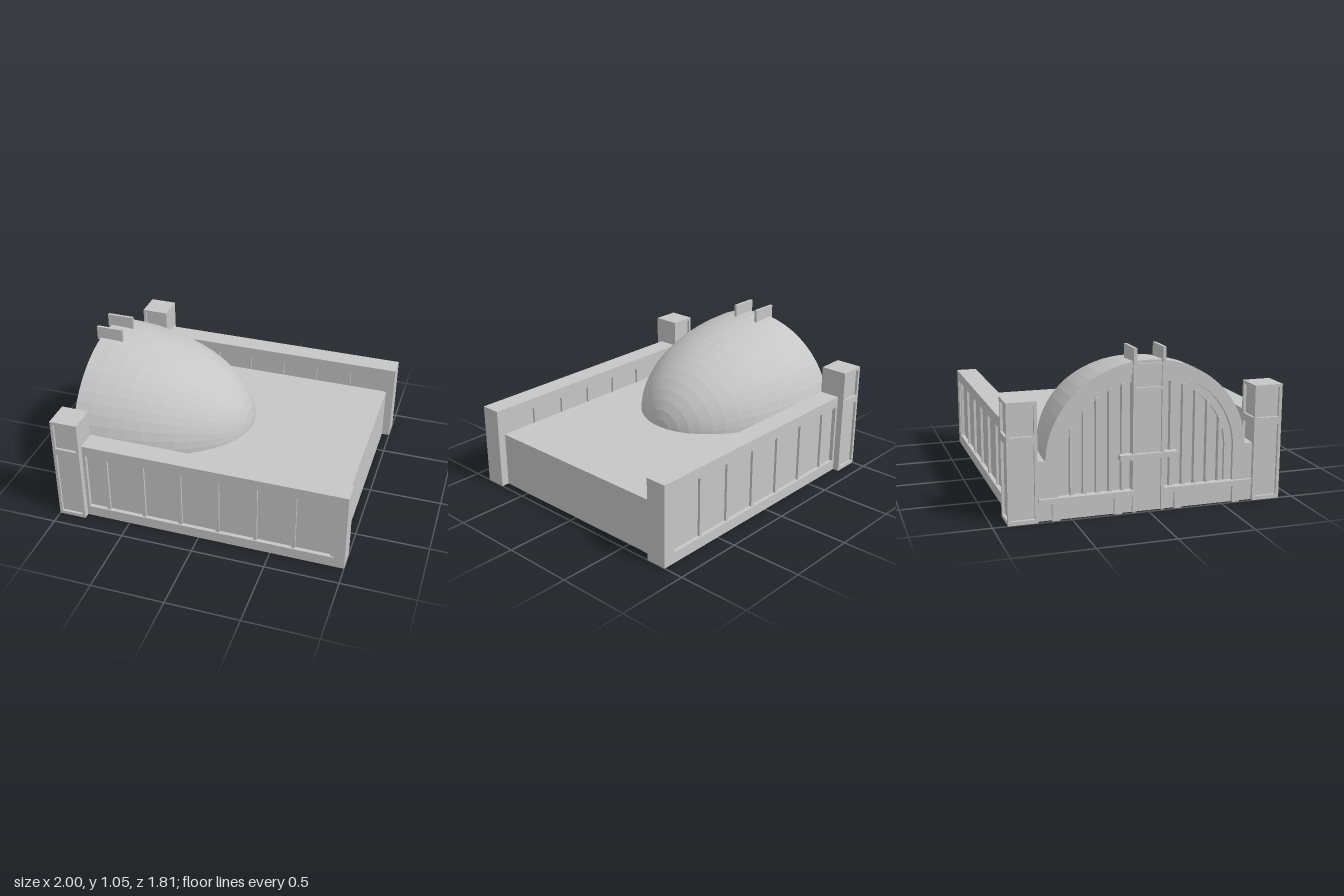
import * as THREE from 'three';

const stone = new THREE.MeshStandardMaterial({ color: 0xc6c6c6 });
stone.name = 'pale grey stone';
const domeGrey = new THREE.MeshStandardMaterial({ color: 0xc6c6c6, flatShading: true });
domeGrey.name = 'pale grey dome';

// Box given by its lower and upper limits on each axis
function box(parent, name, x0, x1, y0, y1, z0, z1) {
  const mesh = new THREE.Mesh(new THREE.BoxGeometry(x1 - x0, y1 - y0, z1 - z0), stone);
  mesh.position.set((x0 + x1) / 2, (y0 + y1) / 2, (z0 + z1) / 2);
  mesh.name = name;
  parent.add(mesh);
  return mesh;
}

function rectPath(path, [x0, x1, y0, y1]) {
  path.moveTo(x0, y0).lineTo(x1, y0).lineTo(x1, y1).lineTo(x0, y1).lineTo(x0, y0);
  return path;
}

// Rectangular slab in the xy plane with rectangular openings
function frameGeometry(outer, holes, depth) {
  const shape = rectPath(new THREE.Shape(), outer);
  shape.holes = holes.map((h) => rectPath(new THREE.Path(), h));
  return new THREE.ExtrudeGeometry(shape, { depth, bevelEnabled: false });
}

function add(parent, name, geometry, material = stone) {
  const mesh = new THREE.Mesh(geometry, material);
  mesh.name = name;
  parent.add(mesh);
  return mesh;
}

// Long side wall: frame, thin panel and mullions showing on both faces
function sideWall(side) {
  const g = new THREE.Group();
  g.name = side > 0 ? 'frontSideWall' : 'backSideWall';
  const frame = frameGeometry([-0.81, 1, 0, 0.575], [[-0.79, 0.925, 0.075, 0.5]], 0.145);
  add(g, 'wallFrame', frame).position.z = side > 0 ? 0.715 : -0.86;
  const z = side * 0.7875;
  box(g, 'wallPanel', -0.8, 0.94, 0.065, 0.51, z - 0.045, z + 0.045);
  for (let i = 0; i < 7; i++) {
    const x = -0.665 + i * 0.261;
    box(g, 'wallMullion', x, x + 0.025, 0.07, 0.505, z - 0.062, z + 0.062);
  }
  return g;
}

// Corner tower with two recessed panels on three faces
function tower(side) {
  const g = new THREE.Group();
  g.name = side > 0 ? 'frontTower' : 'backTower';
  const t = 0.018, h = 0.095;
  box(g, 'towerCore', -h + t, h, 0, 0.765, -h + t, h - t);
  const panels = [[-0.075, 0.075, 0.025, 0.5], [-0.075, 0.075, 0.55, 0.745]];
  const frame = frameGeometry([-h, h, 0, 0.765], panels, t);
  for (const turn of [0, Math.PI, -Math.PI / 2]) {
    const face = new THREE.Group();
    face.name = 'towerFace';
    face.rotation.y = turn;
    add(face, 'towerFrame', frame).position.z = h - t;
    g.add(face);
  }
  g.position.set(-0.905, 0, side * 0.81);
  return g;
}

const SPRING = 0.37;

// Arched opening outline: straight jambs below, half ellipse above
function archPath(path, rz, ry, y0) {
  path.moveTo(-rz, y0).lineTo(rz, y0).lineTo(rz, SPRING);
  path.absellipse(0, SPRING, rz, ry, 0, Math.PI, false);
  path.lineTo(-rz, y0);
  return path;
}

// Facade layer in the zy plane, extruded towards -x from xBack
function facadeLayer(parent, name, xBack, depth, hole) {
  const shape = new THREE.Shape();
  shape.moveTo(-0.715, 0).lineTo(0.715, 0).lineTo(0.715, 0.385).lineTo(0.66, 0.385);
  shape.absellipse(0, SPRING, 0.66, 0.6, 0.02, Math.PI - 0.02, false);
  shape.lineTo(-0.715, 0.385).lineTo(-0.715, 0);
  if (hole) shape.holes.push(archPath(new THREE.Path(), hole, hole - 0.06, 0.14));
  const geo = new THREE.ExtrudeGeometry(shape, { depth, bevelEnabled: false, curveSegments: 36 });
  geo.rotateY(-Math.PI / 2);
  add(parent, name, geo).position.x = xBack;
}

function facade() {
  const g = new THREE.Group();
  g.name = 'archedFacade';
  facadeLayer(g, 'windowBackPlate', -0.915, 0.015, 0);
  facadeLayer(g, 'innerArchRing', -0.93, 0.022, 0.53);
  facadeLayer(g, 'outerArchRing', -0.952, 0.023, 0.58);

  // Central pier with raised edges and a small framed panel near its top
  box(g, 'centralPier', -0.975, -0.93, 0, 0.95, -0.1, 0.1);
  for (const s of [-1, 1]) {
    const z = s * 0.095;
    box(g, 'pierFin', -1, -0.81, 0.95, 1.05, z - 0.01, z + 0.01);
    box(g, 'pierEdge', -0.99, -0.93, 0, 0.95, z - 0.01, z + 0.01);
  }
  for (const y of [0.78, 0.93]) box(g, 'pierPanelRail', -0.99, -0.96, y, y + 0.02, -0.09, 0.09);

  // Entrance canopy
  box(g, 'canopy', -1, -0.95, 0.345, 0.38, -0.19, 0.19);

  for (const s of [-1, 1]) {
    // Window bars reaching up to the arch
    for (let i = 0; i < 5; i++) {
      const z = 0.16 + i * 0.083;
      const top = SPRING + 0.48 * Math.sqrt(1 - (z / 0.54) ** 2);
      box(g, 'windowBar', -0.965, -0.925, 0.14, top, s * z - 0.011, s * z + 0.011);
    }
    // Sill and its supporting blocks
    const mid = s * 0.405;
    box(g, 'windowSill', -0.995, -0.95, 0.11, 0.145, mid - 0.305, mid + 0.305);
    for (const z of [0.2, 0.6]) {
      box(g, 'sillBlock', -0.995, -0.95, 0, 0.11, s * z - 0.025, s * z + 0.025);
    }
  }
  return g;
}

export function createModel() {
  const model = new THREE.Group();
  model.name = 'domedHall';

  // Hollow hall: roof slab and far end wall
  box(model, 'roof', -0.92, 0.945, 0.36, 0.385, -0.72, 0.72);
  box(model, 'endWall', 0.92, 0.945, 0, 0.36, -0.72, 0.72);

  // Faceted quarter ellipsoid with its pole along +x
  const domeGeo = new THREE.SphereGeometry(1, 26, 14, -Math.PI / 2, Math.PI, 0, Math.PI / 2);
  domeGeo.rotateZ(-Math.PI / 2).scale(1.095, 0.605, 0.667);
  add(model, 'dome', domeGeo, domeGrey).position.set(-0.975, SPRING, 0);

  model.add(facade());
  for (const side of [-1, 1]) model.add(sideWall(side), tower(side));
  return model;
}
